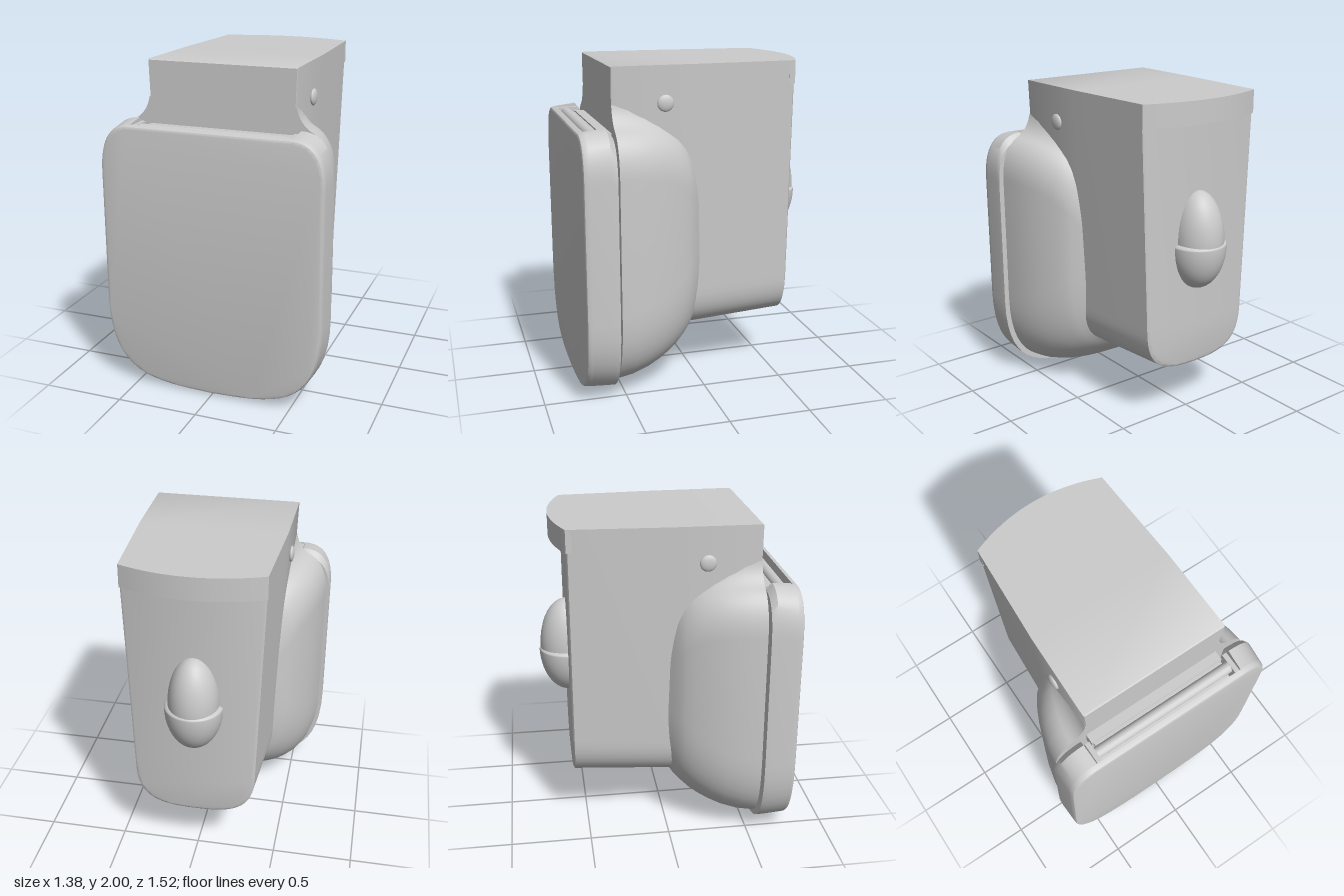
import * as THREE from 'three';
import { toCreasedNormals } from 'three/addons/utils/BufferGeometryUtils.js';

const material = new THREE.MeshStandardMaterial({ color: 0xcccccc });

function addMesh(group, name, geometry, x = 0, y = 0, z = 0) {
  const mesh = new THREE.Mesh(geometry, material);
  mesh.name = name;
  mesh.position.set(x, y, z);
  group.add(mesh);
  return mesh;
}

// Mirror a right-hand half contour (starting at x = 0) into a closed counter-clockwise ring
function mirrorRing(path) {
  const half = path.getPoints(16);
  const left = half.slice(1).reverse().map(p => new THREE.Vector2(-p.x, p.y));
  return [...half, ...left];
}

// Rounded lower edge and upright side shared by door and housing
function startOutline(w, y0) {
  const p = new THREE.Path();
  p.moveTo(0, y0);
  p.bezierCurveTo(0.55 * w, y0 + 0.01, w, y0, w, y0 + 0.54);
  return p;
}

function doorOutline(w, y0, y1, notched) {
  const p = startOutline(w, y0);
  p.lineTo(w, y1 - 0.28);
  p.bezierCurveTo(w, y1 - 0.08, w - 0.07, y1, w - 0.19, y1);
  if (notched) p.lineTo(w - 0.19, y1 - 0.15);
  return mirrorRing(p);
}

// The housing flares upwards into the neck
function housingOutline(w, y0, y1) {
  const p = startOutline(w, y0);
  p.lineTo(w, y1 - 0.28);
  p.bezierCurveTo(w, y1 - 0.12, w - 0.06, y1 - 0.05, w - 0.11, y1 - 0.02);
  p.quadraticCurveTo(w - 0.19, y1 + 0.02, w - 0.21, y1 + 0.12);
  return mirrorRing(p);
}

function bodyOutline(w, y0, y1) {
  const wb = w - 0.045;
  const p = new THREE.Path();
  p.moveTo(0, y0);
  p.bezierCurveTo(0.6 * wb, y0, wb, y0 + 0.03, wb, y0 + 0.3);
  p.lineTo(w, y1);
  return mirrorRing(p);
}

// Skin rings ordered from back to front, closed with flat caps
function loft(sections, crease = 0.6) {
  const pos = [];
  const put = (ring, z, i) => pos.push(ring[i].x, ring[i].y, z);
  for (let s = 0; s < sections.length - 1; s++) {
    const [za, a] = sections[s], [zb, b] = sections[s + 1];
    for (let i = 0; i < a.length; i++) {
      const j = (i + 1) % a.length;
      put(a, za, i); put(a, za, j); put(b, zb, j);
      put(a, za, i); put(b, zb, j); put(b, zb, i);
    }
  }
  const cap = ([z, ring], flip) => {
    for (const [i, j, k] of THREE.ShapeUtils.triangulateShape(ring, [])) {
      put(ring, z, i); put(ring, z, flip ? k : j); put(ring, z, flip ? j : k);
    }
  };
  cap(sections[0], true);
  cap(sections[sections.length - 1], false);
  const g = new THREE.BufferGeometry();
  g.setAttribute('position', new THREE.Float32BufferAttribute(pos, 3));
  return toCreasedNormals(g, crease);
}

export function createModel() {
  const model = new THREE.Group();
  model.name = 'wallUnit';

  // Tapered body column with softened end edges
  addMesh(model, 'body', loft([
    [-0.585, bodyOutline(0.405, 0.355, 2)],
    [-0.575, bodyOutline(0.42, 0.34, 2)],
    [0.03, bodyOutline(0.452, 0.31, 2)],
    [0.54, bodyOutline(0.46, 0.29, 2)],
    [0.55, bodyOutline(0.455, 0.3, 1.995)],
  ]));

  // Domed housing: z, half width, bottom, top
  const housing = [
    [-0.02, 0.38, 0.37, 1.33], [0.03, 0.44, 0.31, 1.43], [0.06, 0.48, 0.27, 1.49],
    [0.1, 0.515, 0.23, 1.54], [0.15, 0.545, 0.185, 1.58], [0.2, 0.572, 0.15, 1.605],
    [0.27, 0.603, 0.11, 1.63], [0.35, 0.63, 0.075, 1.645], [0.45, 0.653, 0.045, 1.655],
    [0.55, 0.665, 0.03, 1.66],
  ];
  addMesh(model, 'housing', loft(housing.map(([z, w, y0, y1]) => [z, housingOutline(w, y0, y1)])));

  // Front door: notched rim behind, full plate in front
  const door = new THREE.Group();
  door.name = 'door';
  model.add(door);
  addMesh(door, 'doorRim', loft([
    [0.565, doorOutline(0.688, 0, 1.62, true)],
    [0.6, doorOutline(0.69, 0.002, 1.66, true)],
    [0.725, doorOutline(0.685, 0.008, 1.645, true)],
  ]));
  addMesh(door, 'doorPlate', loft([
    [0.725, doorOutline(0.685, 0.008, 1.645, false)],
    [0.745, doorOutline(0.683, 0.01, 1.64, false)],
    [0.755, doorOutline(0.679, 0.015, 1.635, false)],
    [0.76, doorOutline(0.668, 0.025, 1.625, false)],
  ]));

  // Hinge lying in the notch
  const hinge = new THREE.Group();
  hinge.name = 'hinge';
  model.add(hinge);
  addMesh(hinge, 'hingeBar', new THREE.BoxGeometry(0.9, 0.1, 0.07), 0, 1.57, 0.575);
  addMesh(hinge, 'hingeLeaf', new THREE.BoxGeometry(0.88, 0.03, 0.09), 0, 1.595, 0.64);
  addMesh(hinge, 'hingePin', new THREE.CylinderGeometry(0.035, 0.035, 0.92, 20), 0, 1.605, 0.665)
    .rotation.z = Math.PI / 2;
  for (const side of [-1, 1]) {
    addMesh(hinge, 'hingeEnd', new THREE.BoxGeometry(0.03, 0.13, 0.13), side * 0.475, 1.575, 0.66);
  }

  // Bowed lip along the top of the back
  const lip = new THREE.Shape();
  lip.moveTo(-0.42, 0.55);
  lip.lineTo(0.42, 0.55);
  lip.lineTo(0.42, 0.585);
  lip.quadraticCurveTo(0, 0.76, -0.42, 0.585);
  const lipGeometry = new THREE.ExtrudeGeometry(lip, { depth: 0.14, bevelEnabled: false, curveSegments: 24 });
  lipGeometry.rotateX(-Math.PI / 2);
  addMesh(model, 'backLip', toCreasedNormals(lipGeometry, 0.6), 0, 1.86, 0);

  // Rear knob: narrow dome above, wider cup below
  const knob = new THREE.Group();
  knob.name = 'rearKnob';
  knob.position.z = -0.58;
  model.add(knob);
  addMesh(knob, 'knobDome', new THREE.SphereGeometry(1, 32, 20), 0, 1.15, 0)
    .scale.set(0.155, 0.3, 0.17);
  addMesh(knob, 'knobCup', new THREE.SphereGeometry(1, 32, 12, 0, Math.PI * 2, Math.PI / 2, Math.PI / 2), 0, 1.12, 0)
    .scale.set(0.178, 0.28, 0.178);
  addMesh(knob, 'knobCupTop', new THREE.SphereGeometry(1, 32, 8, 0, Math.PI * 2, 0, Math.PI / 2), 0, 1.12, 0)
    .scale.set(0.178, 0.04, 0.178);

  // Side studs
  for (const side of [-1, 1]) {
    addMesh(model, 'sideStud', new THREE.SphereGeometry(1, 20, 12), side * 0.455, 1.78, 0.23)
      .scale.set(0.018, 0.05, 0.05);
  }
  return model;
}
